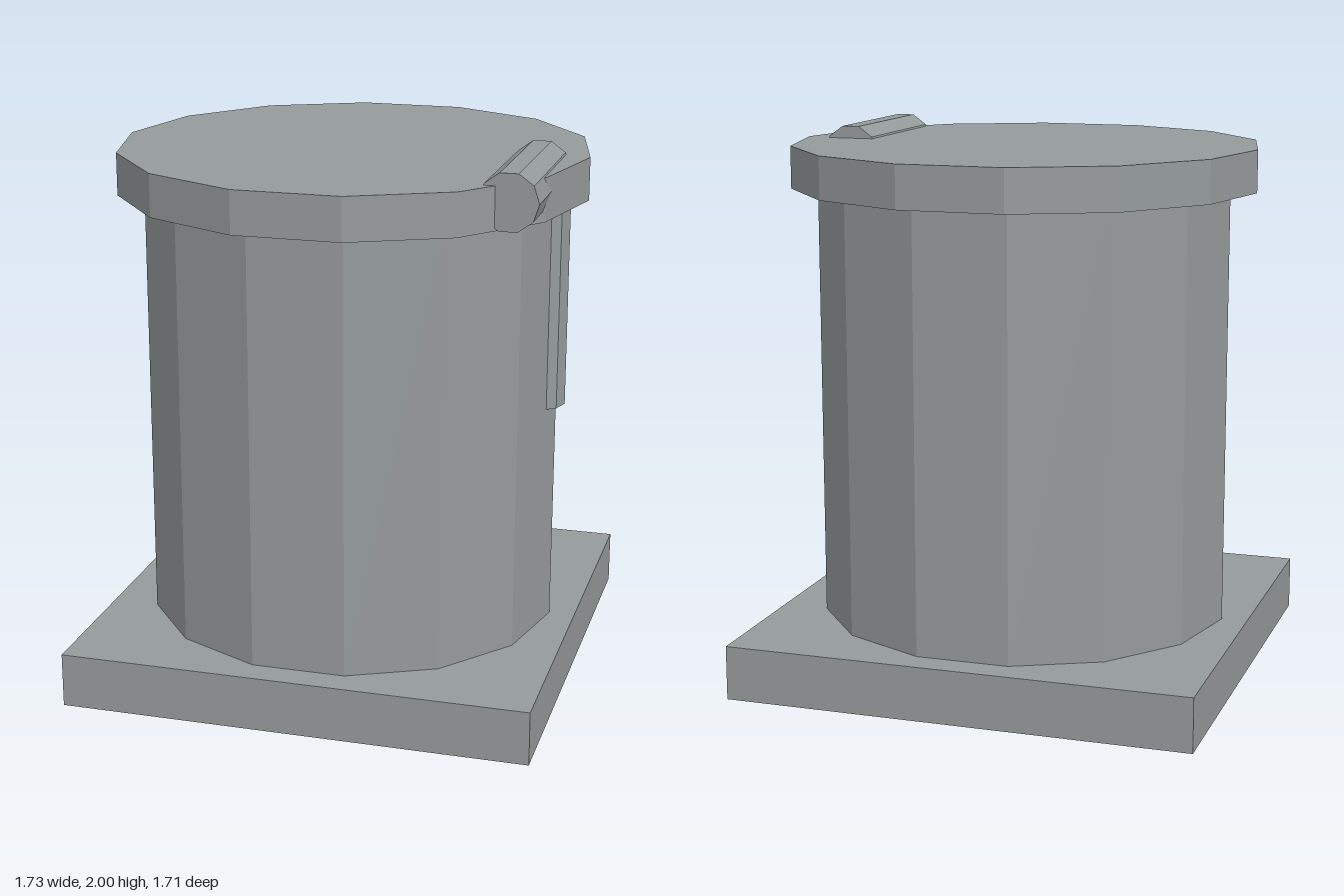
import * as THREE from 'three';

export function createModel() {
  const model = new THREE.Group();
  const stone = new THREE.MeshStandardMaterial({ color: 0x959a9a, flatShading: true });
  stone.name = 'grey stone';

  function add(name, geometry, x, y, z) {
    const mesh = new THREE.Mesh(geometry, stone);
    mesh.name = name;
    mesh.position.set(x, y, z);
    model.add(mesh);
    return mesh;
  }

  // Faceted cylinder with a corner pointing along +x
  const prism = (radius, height, sides) =>
    new THREE.CylinderGeometry(radius, radius, height, sides, 1, false, Math.PI / 2);

  // Square foot
  add('basePlate', new THREE.BoxGeometry(1.725, 0.2, 1.71), 0, 0.1, 0);

  // Fourteen-sided drum and its wider lid
  add('drum', prism(0.767, 1.6, 14), 0, 1.0, 0);
  add('lid', prism(0.864, 0.155, 14), 0, 1.8775, 0);

  // Upright rod half sunk into the left side of the drum
  add('sideRod', prism(0.105, 0.815, 10), 0.695, 1.4425, 0);

  // Rod lying along z, half sunk into the lid
  const lidRod = add('lidRod', prism(0.105, 0.58, 10), 0.685, 1.9, 0.26);
  lidRod.rotation.x = Math.PI / 2;

  return model;
}
